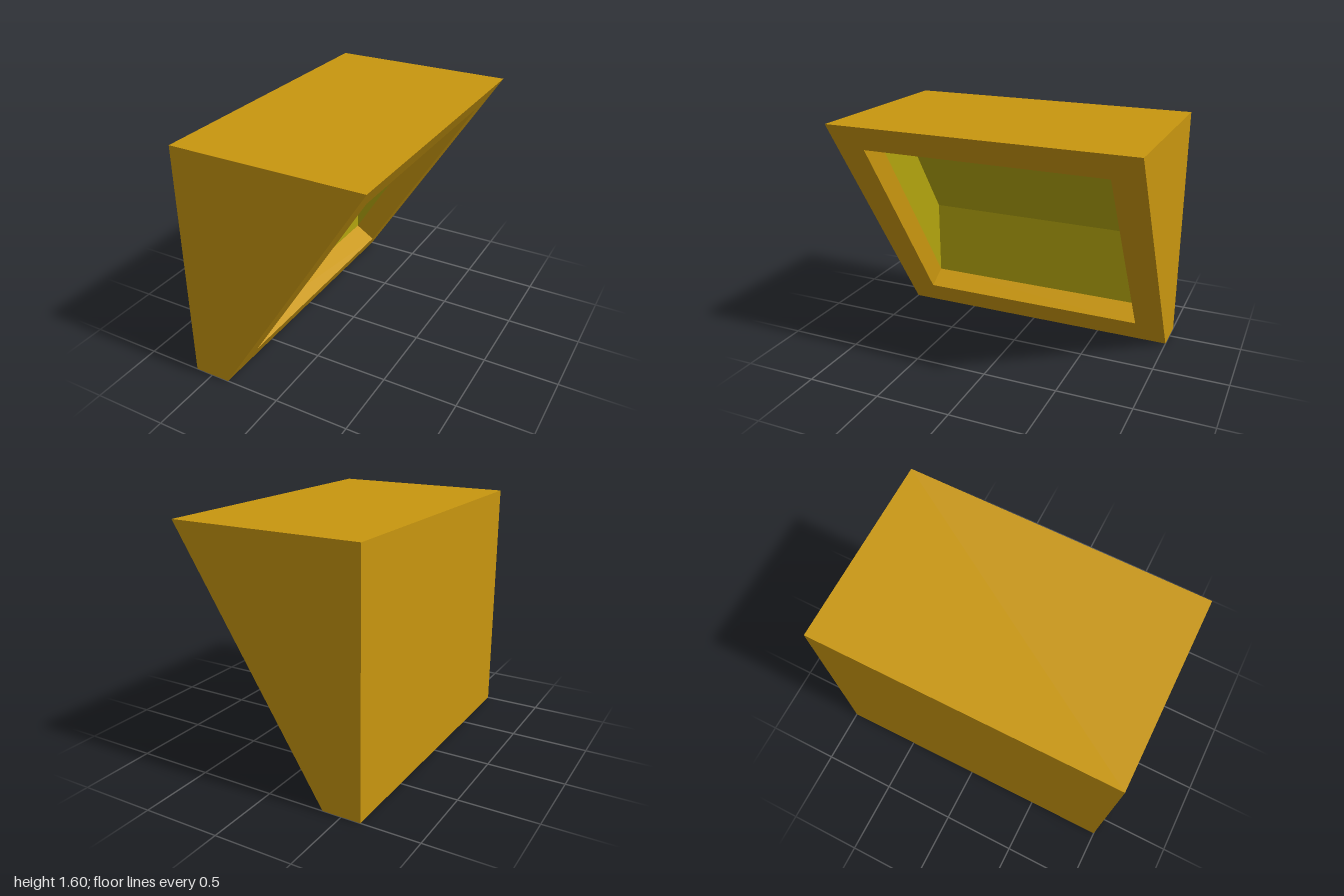
import * as THREE from 'three';
import { mergeGeometries } from 'three/addons/utils/BufferGeometryUtils.js';

const HALF = 1;      // half width of the housing
const OPEN = 0.8;    // half width of the opening

// Flat convex polygon as a triangle fan
function polygon(corners) {
  const pos = [];
  for (let i = 1; i < corners.length - 1; i++) pos.push(...corners[0], ...corners[i], ...corners[i + 1]);
  const g = new THREE.BufferGeometry();
  g.setAttribute('position', new THREE.Float32BufferAttribute(pos, 3));
  g.computeVertexNormals();
  return g;
}

// Sweeps an xy path across z; the solid lies to the left of the path
function strip(path, z0, z1) {
  const quads = [];
  for (let i = 0; i < path.length - 1; i++) {
    const p = path[i], q = path[i + 1];
    quads.push(polygon([[...p, z0], [...q, z0], [...q, z1], [...p, z1]]));
  }
  return mergeGeometries(quads);
}

// Counter-clockwise xy outline as a face at z, looking to +z or -z
function cap(outline, z, dir) {
  const pts = outline.map((p) => [...p, z]);
  return polygon(dir > 0 ? pts : pts.reverse());
}

export function createModel() {
  const housingMat = new THREE.MeshStandardMaterial({ color: 0xc8960f });
  housingMat.name = 'amber';
  const liningMat = new THREE.MeshStandardMaterial({ color: 0xb2a40e });
  liningMat.name = 'olive';

  const model = new THREE.Group();
  model.name = 'slantedHousing';
  const add = (name, mat, parts) => {
    const mesh = new THREE.Mesh(mergeGeometries(parts), mat);
    mesh.name = name;
    model.add(mesh);
  };

  // Wedge section
  const backLow = [-0.625, 0], toe = [-0.375, 0], brow = [0.625, 1.6], backHigh = [-0.625, 1.6];

  // Point on the slanted face: distance along it from the toe, depth into the body
  const length = Math.hypot(1, 1.6);
  const ux = 1 / length, uy = 1.6 / length;
  const at = (along, depth) => [toe[0] + ux * along - uy * depth, toe[1] + uy * along + ux * depth];
  const lo = 0.2, hi = length - 0.2, span = hi - lo;
  const rimDepth = 0.16, floorDepth = 0.44;
  const lowEdge = at(lo, 0), highEdge = at(hi, 0);
  const lowInner = at(lo, rimDepth), highInner = at(hi, rimDepth);
  const lowCrease = at(lo + span * 0.3, floorDepth), highCrease = at(hi - span * 0.3, floorDepth);

  // Outer shell
  const outline = [backLow, toe, brow, backHigh];
  add('housing', housingMat, [
    cap(outline, HALF, 1),
    cap(outline, -HALF, -1),
    strip([brow, backHigh, backLow, toe], -HALF, HALF),
  ]);

  // Frame around the opening
  add('frame', housingMat, [
    strip([toe, brow], -HALF, -OPEN),
    strip([toe, brow], OPEN, HALF),
    strip([toe, lowEdge], -OPEN, OPEN),
    strip([highEdge, brow], -OPEN, OPEN),
  ]);

  // Walls just inside the opening
  const rim = [lowEdge, highEdge, highInner, lowInner];
  add('rim', housingMat, [
    strip([lowEdge, lowInner], -OPEN, OPEN),
    strip([highInner, highEdge], -OPEN, OPEN),
    cap(rim, -OPEN, 1),
    cap(rim, OPEN, -1),
  ]);

  // Three-panel lining with its end walls
  const recess = [lowInner, highInner, highCrease, lowCrease];
  add('lining', liningMat, [
    strip([lowInner, lowCrease, highCrease, highInner], -OPEN, OPEN),
    cap(recess, -OPEN, 1),
    cap(recess, OPEN, -1),
  ]);

  return model;
}
